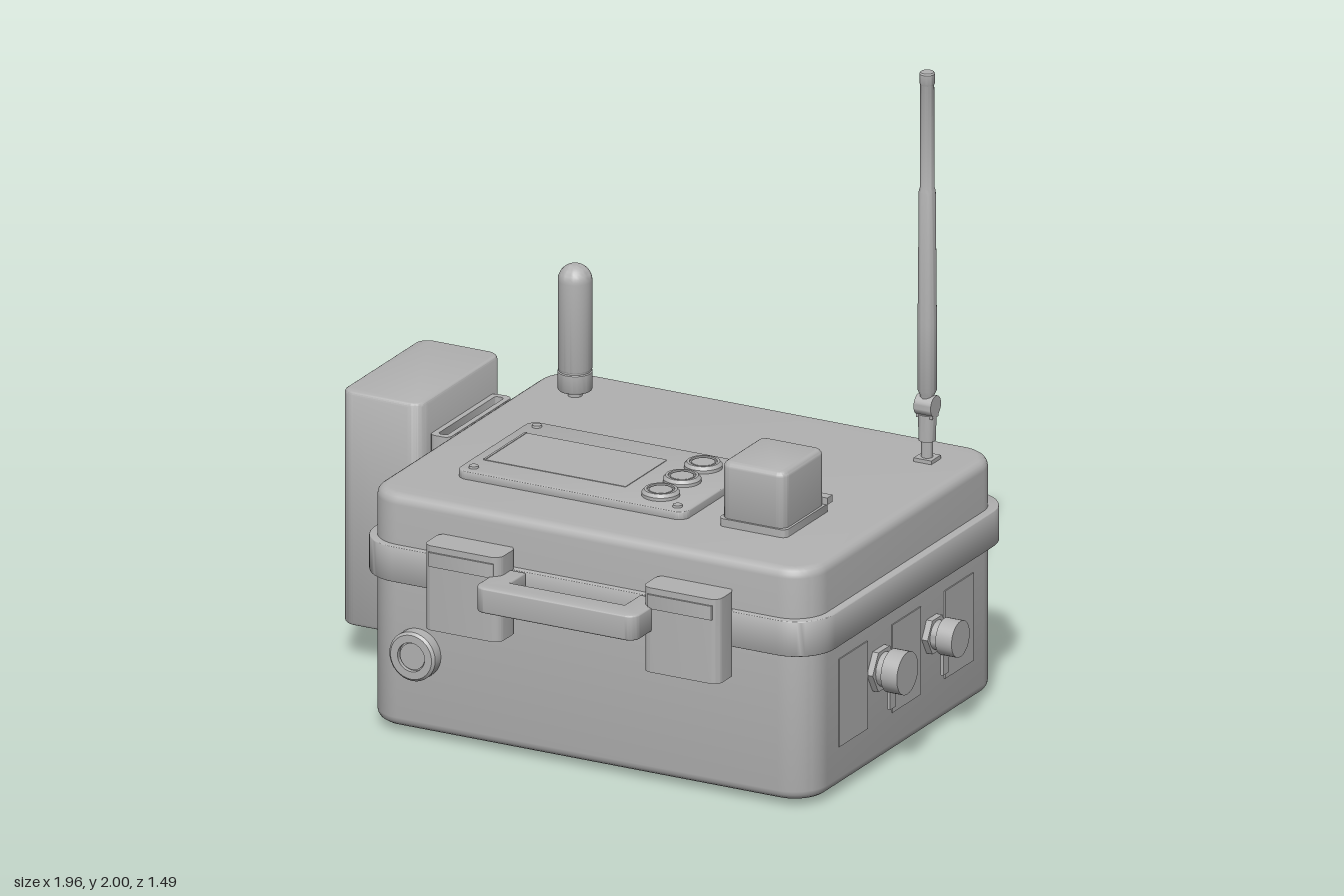
import * as THREE from 'three';
import { toCreasedNormals } from 'three/addons/utils/BufferGeometryUtils.js';

export function createModel() {
  const root = new THREE.Group();
  const grey = new THREE.MeshStandardMaterial({ color: 0xb2b2b2 });
  grey.name = 'neutral grey';

  function add(name, geo, x = 0, y = 0, z = 0) {
    const m = new THREE.Mesh(toCreasedNormals(geo, 0.6), grey);
    m.name = name;
    m.position.set(x, y, z);
    root.add(m);
    return m;
  }

  // Rounded rectangle outline, as a Shape or a hole Path
  function roundRect(path, x0, y0, x1, y1, r) {
    path.moveTo(x0 + r, y0);
    path.lineTo(x1 - r, y0);
    path.absarc(x1 - r, y0 + r, r, -Math.PI / 2, 0);
    path.lineTo(x1, y1 - r);
    path.absarc(x1 - r, y1 - r, r, 0, Math.PI / 2);
    path.lineTo(x0 + r, y1);
    path.absarc(x0 + r, y1 - r, r, Math.PI / 2, Math.PI);
    path.lineTo(x0, y0 + r);
    path.absarc(x0 + r, y0 + r, r, Math.PI, Math.PI * 1.5);
    return path;
  }

  // Plan shape (shape y = -z) extruded upward from y0 to y1
  function rise(name, shape, y0, y1, bevel = 0) {
    const geo = new THREE.ExtrudeGeometry(shape, {
      depth: y1 - y0 - 2 * bevel, curveSegments: 8,
      bevelEnabled: bevel > 0, bevelSize: bevel, bevelOffset: -bevel,
      bevelThickness: bevel, bevelSegments: 4,
    });
    geo.rotateX(-Math.PI / 2);
    return add(name, geo, 0, y0 + bevel, 0);
  }
  const slab = (name, x0, x1, z0, z1, y0, y1, r, bevel = 0) =>
    rise(name, roundRect(new THREE.Shape(), x0, -z1, x1, -z0, r), y0, y1, bevel);

  const box = (name, x0, x1, y0, y1, z0, z1) =>
    add(name, new THREE.BoxGeometry(x1 - x0, y1 - y0, z1 - z0),
      (x0 + x1) / 2, (y0 + y1) / 2, (z0 + z1) / 2);

  // Cylinder whose axis starts at x, y, z and runs along +axis
  function rod(name, axis, r0, r1, len, x, y, z, sides = 32) {
    const geo = new THREE.CylinderGeometry(r1, r0, len, sides);
    geo.translate(0, len / 2, 0);
    if (axis === 'x') geo.rotateZ(-Math.PI / 2);
    if (axis === 'z') geo.rotateX(Math.PI / 2);
    return add(name, geo, x, y, z);
  }
  const lathe = (name, pts, x, y, z) =>
    add(name, new THREE.LatheGeometry(pts.map(p => new THREE.Vector2(...p)), 32), x, y, z);

  // Case, rim and feet
  slab('caseBody', -0.64, 0.876, -0.667, 0.53, 0.02, 0.76, 0.11, 0.03);
  slab('lowerRim', -0.664, 0.904, -0.7, 0.552, 0.49, 0.603, 0.13, 0.004);
  for (const x of [-0.516, 0.595])
    for (const z of [0.307, -0.53])
      slab('foot', x, x + 0.165, z, z + 0.088, 0, 0.03, 0.03);

  // Front latches
  for (const x of [-0.383, 0.362]) {
    slab('latch', x, x + 0.26, 0.525, 0.636, 0.395, 0.665, 0.03);
    slab('latchLip', x + 0.02, x + 0.24, 0.6, 0.642, 0.6, 0.645, 0.006);
  }

  // Carrying handle
  const handle = new THREE.Shape();
  handle.moveTo(-0.155, -0.56);
  handle.lineTo(-0.155, -0.705);
  handle.absarc(-0.12, -0.705, 0.035, Math.PI, Math.PI * 1.5);
  handle.lineTo(0.36, -0.74);
  handle.absarc(0.36, -0.705, 0.035, -Math.PI / 2, 0);
  handle.lineTo(0.395, -0.56);
  handle.lineTo(0.315, -0.56);
  handle.lineTo(0.315, -0.657);
  handle.lineTo(-0.075, -0.657);
  handle.lineTo(-0.075, -0.56);
  rise('handle', handle, 0.525, 0.605, 0.006);

  // Front pressure valve
  lathe('pressureValve', [[0, 0.036], [0.042, 0.036], [0.042, 0.03], [0.046, 0.03],
    [0.046, 0.044], [0.07, 0.044], [0.078, 0.036], [0.078, -0.01]].reverse(), -0.457, 0.27, 0.53)
    .rotation.x = Math.PI / 2;

  // Rear hinge
  rod('hingeRod', 'x', 0.043, 0.043, 1.281, -0.523, 0.545, -0.702);
  for (let i = 0; i < 4; i++) {
    const x = -0.487 + i * 0.359;
    slab('hingeLug', x, x + 0.137, -0.735, -0.66, 0.53, 0.6, 0.025);
  }

  // Control panel on the lid
  slab('controlPanel', -0.45, 0.33, -0.162, 0.312, 0.75, 0.785, 0.035, 0.004);
  slab('panelLabel', -0.41, 0.07, -0.06, 0.2, 0.78, 0.787, 0.004);
  box('panelSlot', -0.414, -0.407, 0.78, 0.789, -0.06, 0.2);
  for (const z of [-0.06, 0.073, 0.206])
    lathe('button', [[0.058, 0], [0.058, 0.01], [0.05, 0.02], [0.042, 0.02], [0.042, 0.014],
      [0.037, 0.014], [0.035, 0.018], [0, 0.018]], 0.193, 0.785, z);
  for (const [x, z] of [[-0.409, -0.125], [-0.409, 0.27], [0.285, 0.27], [0.285, -0.125]])
    rod('panelScrew', 'y', 0.016, 0.014, 0.012, x, 0.78, z, 20);
  rod('statusLight', 'y', 0.012, 0.01, 0.012, 0.285, 0.78, -0.09, 16);

  // Square sensor housing on the lid
  slab('sensorHousing', 0.442, 0.66, 0.034, 0.29, 0.75, 0.963, 0.03, 0.018);
  slab('sensorBase', 0.437, 0.668, 0.02, 0.297, 0.755, 0.785, 0.02);
  box('sensorFlange', 0.433, 0.672, 0.785, 0.807, 0.012, 0.045);

  // Short domed antenna
  const dome = [[0, 0.78], [0.05, 0.78], [0.053, 0.785], [0.053, 0.838], [0.05, 0.841], [0.05, 0.846], [0.052, 0.849]];
  for (let i = 0; i <= 10; i++) {
    const a = i / 10 * Math.PI / 2;
    dome.push([0.052 * Math.cos(a), 1.128 + 0.052 * Math.sin(a)]);
  }
  lathe('shortAntenna', dome, -0.469, 0, -0.474);
  rod('shortAntennaNeck', 'y', 0.022, 0.022, 0.04, -0.469, 0.75, -0.474);

  // Long whip antenna with tilting joint
  const ax = 0.72, az = -0.492;
  box('whipBase', ax - 0.03, ax + 0.03, 0.755, 0.772, az - 0.03, az + 0.03);
  rod('whipNeck', 'y', 0.018, 0.018, 0.08, ax, 0.76, az);
  rod('whipSocket', 'y', 0.026, 0.028, 0.085, ax, 0.825, az);
  box('whipFork', ax - 0.028, ax + 0.028, 0.9, 0.945, az - 0.02, az + 0.02);
  rod('whipJoint', 'x', 0.033, 0.033, 0.058, ax - 0.029, 0.937, az);
  lathe('whipAntenna', [[0, 0.93], [0.02, 0.93], [0.022, 0.97], [0.029, 0.985], [0.029, 1.2],
    [0.0255, 1.62], [0.0225, 1.63], [0.021, 1.96], [0.0235, 1.965], [0.0235, 1.995], [0.02, 2], [0, 2]], ax, 0, az);

  // Left-hand connectors and blank plates on the +x side
  for (const z of [0.172, -0.16, -0.49])
    box('sidePlate', 0.87, 0.88, 0.15, 0.43, z, z + 0.179);
  for (const [z, r] of [[0.1, 0.067], [-0.232, 0.057]]) {
    rod('connectorNut', 'x', r * 1.08, r * 1.08, 0.024, 0.872, 0.32, z, 6);
    rod('connectorNeck', 'x', r * 0.8, r * 0.8, 0.06, 0.872, 0.32, z);
    rod('connectorCap', 'x', r, r, 0.055, 0.92, 0.32, z);
    box('capTether', 0.916, 0.926, 0.2, 0.3, z - 0.018, z + 0.018);
  }

  // Cable gland and plate on the -x side
  box('glandPlate', -0.645, -0.635, 0.15, 0.43, 0.0, 0.179);
  rod('glandNut', 'x', 0.06, 0.06, 0.025, -0.655, 0.32, 0.09, 6);
  rod('cableGland', 'x', 0.046, 0.046, 0.09, -0.727, 0.32, 0.09);

  // Power unit on its brackets
  slab('powerUnit', -0.98, -0.704, -0.453, 0.06, 0.115, 0.86, 0.045, 0.012);
  rod('powerUnitGland', 'y', 0.046, 0.046, 0.1, -0.807, 0.03, -0.2);
  for (const y of [0.25, 0.67]) {
    const strap = roundRect(new THREE.Shape(), -0.706, -0.005, -0.638, 0.395, 0.02);
    strap.holes.push(roundRect(new THREE.Path(), -0.686, 0.015, -0.656, 0.375, 0.01));
    rise('mountBracket', strap, y, y + 0.08);
  }
  // Louvres on the outer face, two columns
  for (let i = 0; i < 12; i++)
    for (const z of [-0.39, -0.17])
      box('louvre', -0.984, -0.975, 0.22 + i * 0.046, 0.234 + i * 0.046, z, z + 0.17);

  return root;
}
